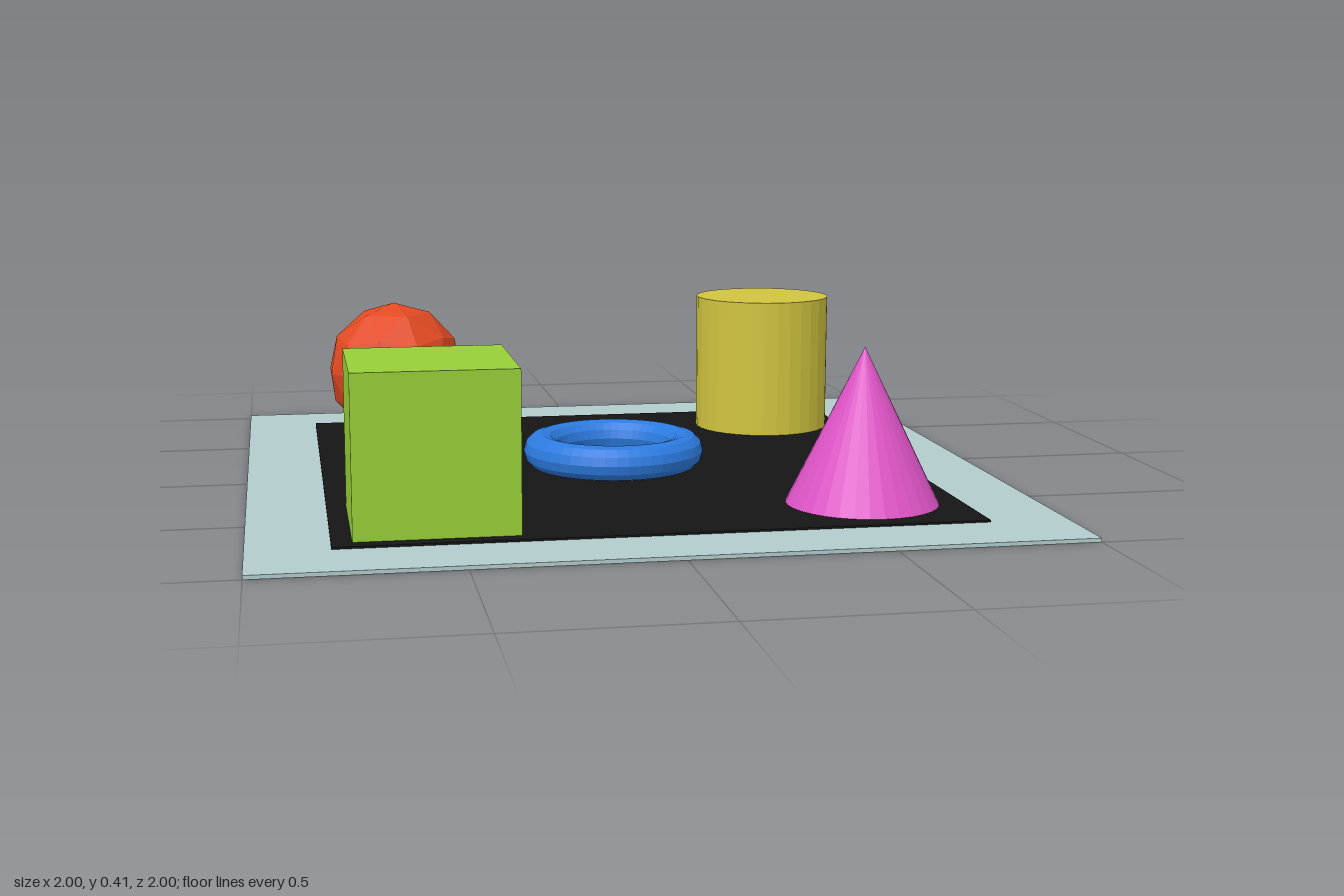
import * as THREE from 'three';

export function createModel() {
  const model = new THREE.Group();

  // Adds one flat-shaded coloured part
  function add(name, geometry, color, x, y, z) {
    const mesh = new THREE.Mesh(geometry, new THREE.MeshStandardMaterial({ color, flatShading: true }));
    mesh.name = name;
    mesh.position.set(x, y, z);
    model.add(mesh);
    return mesh;
  }

  const floor = 0.015; // top of the mat
  const height = 0.4; // height of the solids

  // Base plate with a dark square mat on it
  add('basePlate', new THREE.BoxGeometry(2, 0.01, 2), 0xb2cccb, 0, 0.005, 0);
  add('mat', new THREE.BoxGeometry(1.6, 0.007, 1.6), 0x151515, 0, 0.0115, 0);

  // Four solids near the corners
  add('cube', new THREE.BoxGeometry(0.4, height, 0.4), 0x97cf38, -0.55, floor + height / 2, 0.56);
  add('cylinder', new THREE.CylinderGeometry(0.2, 0.2, height, 32), 0xd0c43f, 0.56, floor + height / 2, -0.56);
  add('cone', new THREE.ConeGeometry(0.195, height, 32), 0xe055c8, 0.547, floor + height / 2, 0.553);

  // Faceted ball, turned so that one corner points straight up
  const ball = new THREE.IcosahedronGeometry(0.2, 1);
  ball.rotateZ(-Math.atan(2 / (1 + Math.sqrt(5))));
  add('ball', ball, 0xe24a22, -0.565, floor + 0.2, -0.567);

  // Ring lying flat in the middle
  const ring = new THREE.TorusGeometry(0.2, 0.048, 12, 48);
  ring.rotateX(-Math.PI / 2);
  add('ring', ring, 0x2c7be0, 0, floor + 0.048, 0);

  return model;
}
